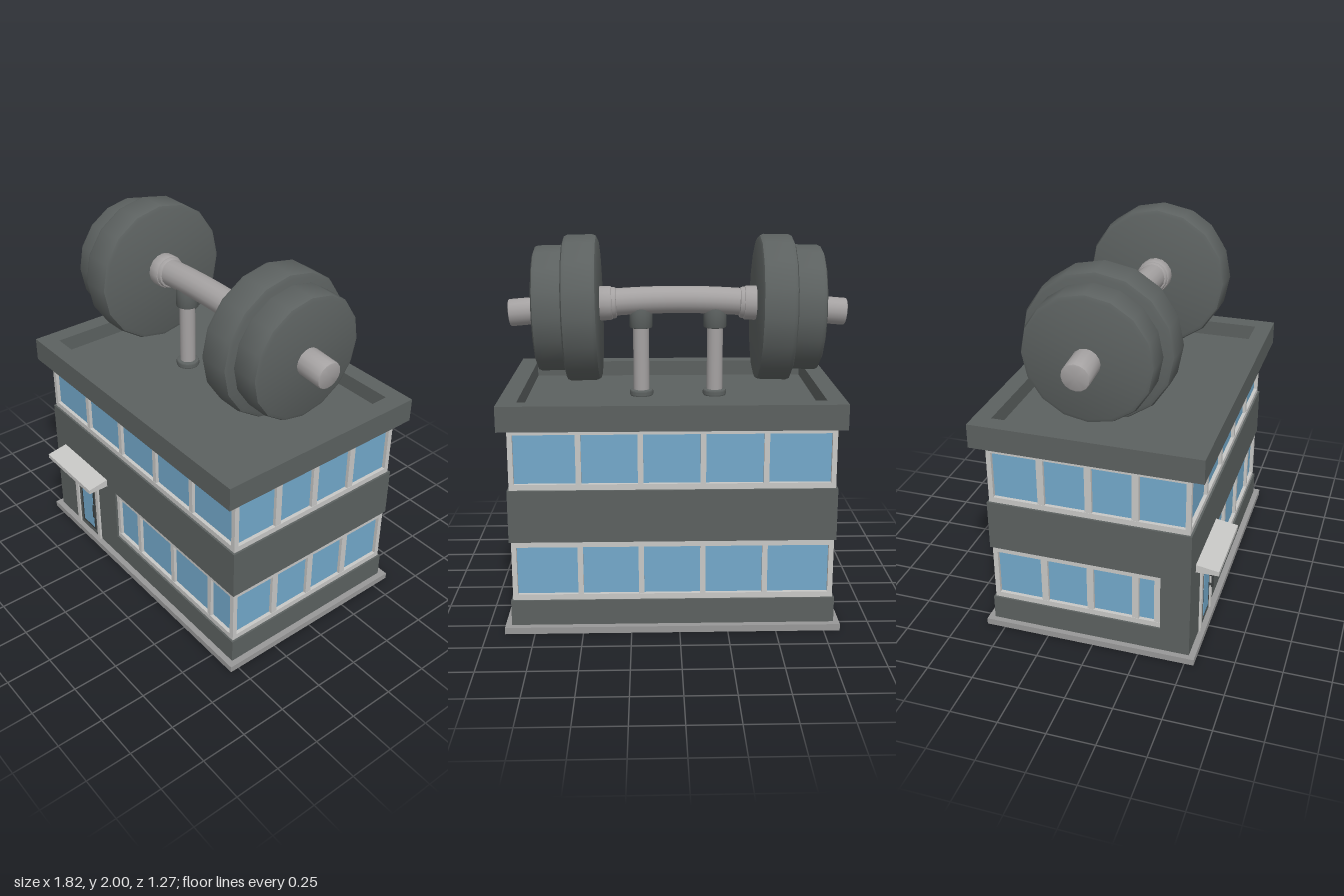
import * as THREE from 'three';
import { toCreasedNormals } from 'three/addons/utils/BufferGeometryUtils.js';

const mat = (name, color) => {
  const m = new THREE.MeshStandardMaterial({ color });
  m.name = name;
  return m;
};

export function createModel() {
  const charcoal = mat('charcoal', 0x5c6160);
  const frameGrey = mat('frame grey', 0xc8c8c6);
  const glass = mat('window blue', 0x73a9cb);
  const stone = mat('base grey', 0x989898);
  const steel = mat('steel', 0xa5a2a2);
  const black = mat('door trim', 0x3a3e3e);

  const root = new THREE.Group();
  root.name = 'gymBuilding';
  const add = (parent, name, geo, material) => {
    const m = new THREE.Mesh(geo, material);
    m.name = name;
    parent.add(m);
    return m;
  };
  // Box given by its limits on each axis
  const box = (parent, name, material, x0, x1, y0, y1, z0, z1) => {
    const m = add(parent, name, new THREE.BoxGeometry(x1 - x0, y1 - y0, z1 - z0), material);
    m.position.set((x0 + x1) / 2, (y0 + y1) / 2, (z0 + z1) / 2);
    return m;
  };
  const group = (name, parent = root) => {
    const g = new THREE.Group();
    g.name = name;
    parent.add(g);
    return g;
  };

  // Walls
  const X0 = -0.805, X1 = 0.872, Z0 = -0.567, Z1 = 0.517;
  box(root, 'base', stone, -0.835, 0.905, 0, 0.035, -0.602, 0.55);
  box(root, 'lowerWall', charcoal, X0, X1, 0.035, 0.17, Z0, Z1);
  box(root, 'middleWall', charcoal, X0, X1, 0.49, 0.765, Z0, Z1);
  box(root, 'entranceWall', charcoal, X0, -0.185, 0.17, 0.49, 0.36, Z1);

  // Window bands: glass core, sills, corner posts and mullions
  const I = 0.01, D = 0.03;
  const fx0 = X0 + I, fx1 = X1 - I, fz0 = Z0 + I, fz1 = Z1 - I;
  const band = (name, y0, front, left) => {
    const g = group(name), y1 = y0 + 0.322, a = y0 + 0.03, b = y1 - 0.033;
    box(g, 'glass', glass, X0 + D, X1 - D, a, b, Z0 + D, Z1 - D);
    box(g, 'sill', frameGrey, fx0, fx1, y0, a, fz0, fz1);
    box(g, 'header', frameGrey, fx0, fx1, b, y1, fz0, fz1);
    for (const x of [fx0, fx1 - 0.026])
      for (const z of [fz0, fz1 - 0.026])
        box(g, 'cornerPost', frameGrey, x, x + 0.026, a, b, z, z + 0.026);
    const alongX = (x, z) => box(g, 'mullion', frameGrey, x - 0.014, x + 0.014, a, b, z, z + 0.024);
    const alongZ = (z, x) => box(g, 'mullion', frameGrey, x, x + 0.024, a, b, z - 0.018, z + 0.018);
    front.forEach((x) => alongX(x, fz1 - 0.026));
    [-0.44, -0.12, 0.197, 0.51].forEach((x) => alongX(x, fz0 + 0.002));
    [0.225, -0.02, -0.272].forEach((z) => alongZ(z, fx1 - 0.026));
    left.forEach((z) => alongZ(z, fx0 + 0.002));
  };
  band('lowerWindows', 0.17, [-0.173, 0.03, 0.342, 0.662], [0.343, 0.225, -0.02, -0.272]);
  band('upperWindows', 0.766, [-0.44, -0.12, 0.197, 0.51], [0.225, -0.02, -0.272]);

  // Roof rim around a sunken roof
  const rect = (S, x0, x1, z0, z1) =>
    new S([[x0, -z1], [x1, -z1], [x1, -z0], [x0, -z0]].map((p) => new THREE.Vector2(...p)));
  const rim = rect(THREE.Shape, -0.833, 0.905, -0.632, 0.577);
  rim.holes.push(rect(THREE.Path, -0.737, 0.808, -0.54, 0.48));
  const rimGeo = new THREE.ExtrudeGeometry(rim, { depth: 0.13, bevelEnabled: false });
  rimGeo.rotateX(-Math.PI / 2).translate(0, 1.09, 0);
  add(root, 'roofRim', rimGeo, charcoal);
  box(root, 'roofFloor', charcoal, -0.737, 0.808, 1.09, 1.135, -0.54, 0.48);

  // Entrance door
  const door = group('door');
  box(door, 'jamb', frameGrey, -0.605, -0.577, 0.035, 0.44, Z1 - 0.01, 0.53);
  box(door, 'jamb', frameGrey, -0.387, -0.36, 0.035, 0.44, Z1 - 0.01, 0.53);
  box(door, 'lintel', frameGrey, -0.577, -0.387, 0.414, 0.44, Z1 - 0.01, 0.53);
  box(door, 'doorLeaf', charcoal, -0.577, -0.387, 0.035, 0.414, Z1 - 0.01, 0.52);
  box(door, 'paneTrim', black, -0.55, -0.412, 0.068, 0.397, 0.518, 0.523);
  box(door, 'pane', glass, -0.535, -0.427, 0.083, 0.383, 0.52, 0.525);
  box(door, 'handle', black, -0.403, -0.392, 0.185, 0.275, 0.534, 0.544);
  for (const y of [0.195, 0.257])
    box(door, 'handleMount', black, -0.403, -0.392, y, y + 0.008, 0.518, 0.536);

  // Sloped canopy over the door
  const side = new THREE.Shape([[0.51, 0.49], [0.637, 0.49], [0.637, 0.515], [0.51, 0.536]]
    .map(([z, y]) => new THREE.Vector2(-z, y)).reverse());
  const canopy = new THREE.ExtrudeGeometry(side, { depth: 0.443, bevelEnabled: false });
  canopy.rotateY(Math.PI / 2).translate(-0.706, 0, 0);
  add(root, 'canopy', canopy, frameGrey);

  // Dumbbell sign, built about its own middle
  const bell = group('dumbbell');
  bell.position.set(-0.006, 0, -0.025);
  // Round solid with softened rims, centred on its own axis
  const round = (r, h, bevel, seg = 16) => {
    const k = bevel * 0.3, e = h / 2;
    const pts = [[0, -e], [r - bevel, -e], [r - k, -e + k], [r, -e + bevel],
      [r, e - bevel], [r - k, e - k], [r - bevel, e], [0, e]];
    const geo = new THREE.LatheGeometry(pts.map((p) => new THREE.Vector2(...p)), seg);
    return toCreasedNormals(geo, 0.7);
  };
  // Each part on the bar: name, material, radius, length, bevel, x, y, tilt
  const parts = [
    ['collar', steel, 0.092, 0.075, 0.012, 0.388, 1.637, 0.035],
    ['collarLip', steel, 0.084, 0.1, 0.012, 0.378, 1.638, 0.035],
    ['largePlate', charcoal, 0.39, 0.183, 0.026, 0.508, 1.61, 0.02],
    ['smallPlate', charcoal, 0.335, 0.17, 0.026, 0.668, 1.61, 0.025],
    ['barEnd', steel, 0.073, 0.22, 0.009, 0.79, 1.597, 0.085],
  ];
  for (const s of [-1, 1]) {
    for (const [name, material, r, h, bevel, x, y, tilt] of parts) {
      const m = add(bell, name, round(r, h, bevel), material);
      m.position.set(s * x, y, 0);
      m.rotation.z = -Math.PI / 2 - s * tilt;
    }
    // Support posts
    const post = group('supportPost', bell);
    post.position.x = s * 0.199;
    add(post, 'post', new THREE.CylinderGeometry(0.043, 0.043, 0.42, 16), steel).position.y = 1.345;
    add(post, 'postTop', round(0.061, 0.11, 0.006), charcoal).position.y = 1.56;
    add(post, 'postFoot', round(0.064, 0.036, 0.01), charcoal).position.y = 1.15;
  }
  // Gently arched grip
  const arch = new THREE.QuadraticBezierCurve3(
    new THREE.Vector3(-0.4, 1.638, 0), new THREE.Vector3(0, 1.673, 0), new THREE.Vector3(0.4, 1.638, 0));
  add(bell, 'grip', new THREE.TubeGeometry(arch, 12, 0.073, 16), steel);

  return root;
}
